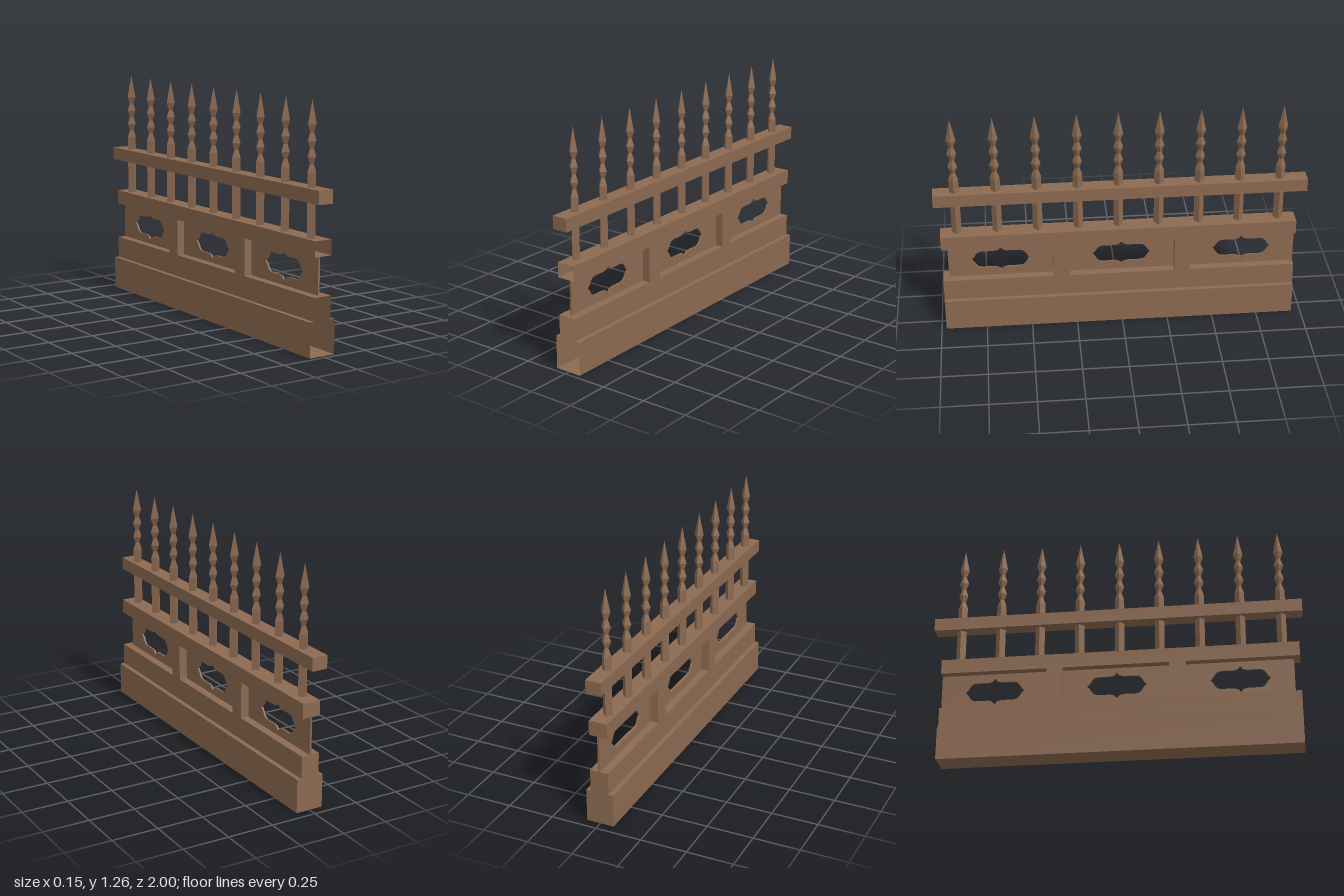
import * as THREE from 'three';

export function createModel() {
  const group = new THREE.Group();
  group.name = 'spikedFence';

  const brown = new THREE.MeshStandardMaterial({ color: 0x8c6a51, side: THREE.DoubleSide });
  brown.name = 'weatheredBrown';

  const add = (geometry, name, x = 0, y = 0, z = 0) => {
    const mesh = new THREE.Mesh(geometry, brown);
    mesh.name = name;
    mesh.position.set(x, y, z);
    group.add(mesh);
    return mesh;
  };
  const polygon = (pts) => new THREE.Shape(pts.map(([x, y]) => new THREE.Vector2(x, y)));

  const BACK = -0.95, FRONT = 0.974;

  // Hollow run along z: closed at the back end, open at the front end
  const openRun = (pts, name) => {
    const full = new THREE.ExtrudeGeometry(polygon(pts), { depth: FRONT - BACK, bevelEnabled: false });
    const p = full.attributes.position, n = full.attributes.normal;
    const kept = [];
    for (let i = 0; i < p.count; i += 3) {
      if (n.getZ(i) > 0.9) continue;
      for (let k = i; k < i + 3; k++) kept.push(p.getX(k), p.getY(k), p.getZ(k));
    }
    const open = new THREE.BufferGeometry();
    open.setAttribute('position', new THREE.Float32BufferAttribute(kept, 3));
    open.computeVertexNormals();
    add(open, name, 0, 0, BACK);
  };

  // Stepped plinth and the coping above the panels
  openRun([[-0.075, 0], [0.075, 0], [0.075, 0.18], [0.05, 0.18], [0.05, 0.3],
    [-0.05, 0.3], [-0.05, 0.18], [-0.075, 0.18]], 'plinth');
  openRun([[-0.05, 0.5], [0.05, 0.5], [0.05, 0.58], [-0.05, 0.58]], 'coping');

  // Piers between the panels
  for (const z of [0.328, -0.331]) {
    add(new THREE.BoxGeometry(0.1, 0.2, 0.086), 'pier', 0, 0.4, z);
  }

  // Bracket-shaped opening, one quarter mirrored four ways
  const quarter = [[0.16, 0], [0.146, 0.014], [0.134, 0.034], [0.122, 0.047],
    [0.105, 0.052], [0.035, 0.052], [0.014, 0.058], [0, 0.075]];
  const upper = [...quarter, ...quarter.slice(0, -1).reverse().map(([x, y]) => [-x, y])];
  const outline = [...upper, ...upper.slice(1, -1).reverse().map(([x, y]) => [x, -y])];

  // Thin pierced panels: [back z, front z, centre of opening]
  const panels = [[0.371, 0.942, 0.657], [-0.288, 0.285, 0], [BACK, -0.374, -0.66]];
  for (const [z0, z1, zc] of panels) {
    // Shape x runs towards -z once the panel is turned
    const shape = polygon([[-z1, 0.3], [-z0, 0.3], [-z0, 0.5], [-z1, 0.5]]);
    shape.holes.push(new THREE.Path(outline.map(([u, v]) => new THREE.Vector2(u - zc, v + 0.4))));
    const geometry = new THREE.ExtrudeGeometry(shape, { depth: 0.01, bevelEnabled: false });
    geometry.translate(0, 0, -0.005);
    geometry.rotateY(Math.PI / 2);
    add(geometry, 'piercedPanel');
  }

  // Upper rail
  add(new THREE.BoxGeometry(0.085, 0.07, 2), 'rail', -0.008, 0.795, 0);

  // Square spikes set on the diamond, with pinched necks and a pointed tip
  const profile = [[0, 0.525], [0.026, 0.525], [0.026, 0.905], [0.012, 0.945], [0.026, 0.98],
    [0.012, 1.02], [0.026, 1.058], [0.012, 1.098], [0.026, 1.137], [0, 1.262]];
  const spike = new THREE.LatheGeometry(profile.map(([r, y]) => new THREE.Vector2(r, y)), 4).toNonIndexed();
  spike.computeVertexNormals();
  for (let i = 0; i < 9; i++) {
    add(spike, 'spike', -0.008, 0, 0.885 - i * 0.2175);
  }

  return group;
}
